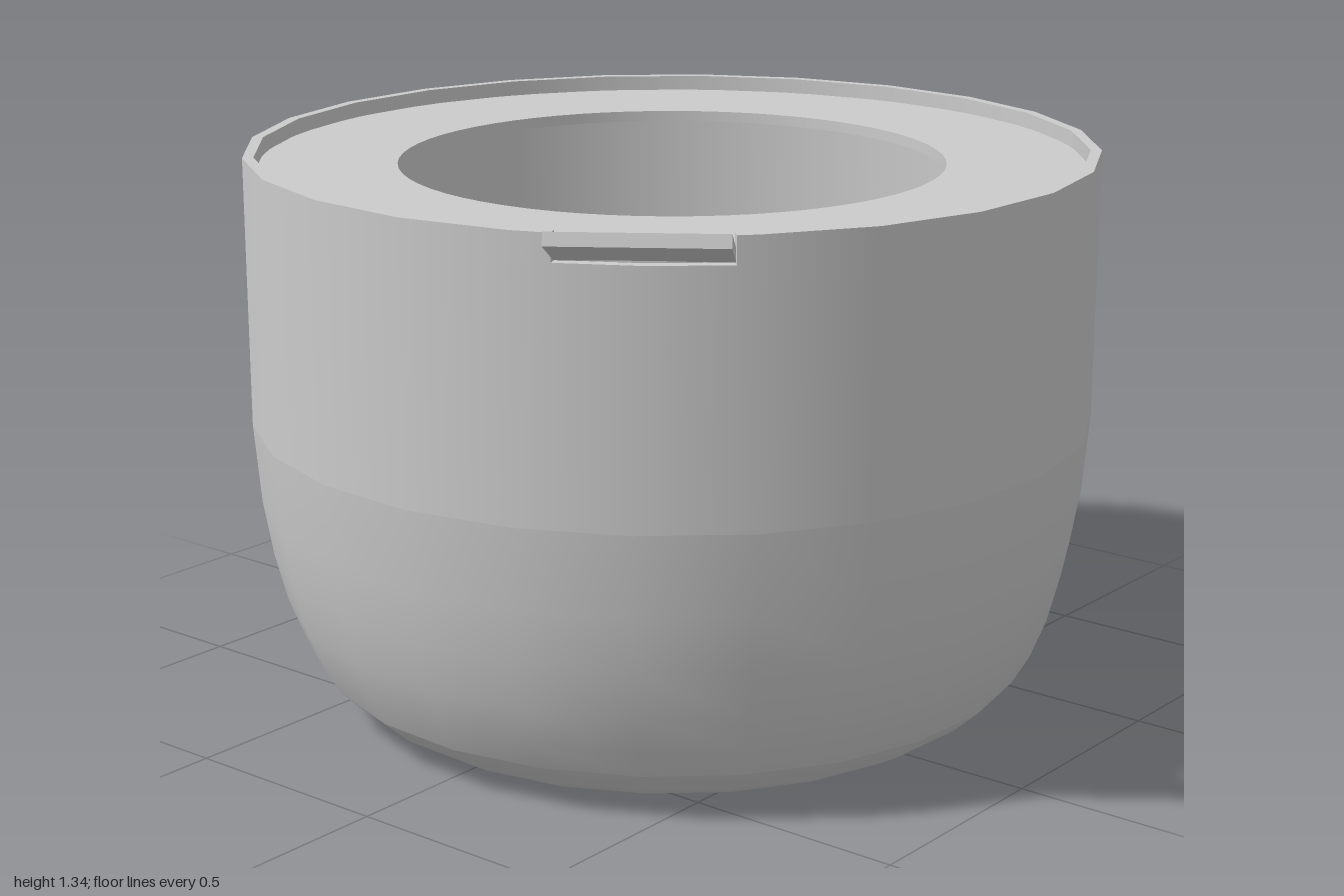
import * as THREE from 'three';

const rad = THREE.MathUtils.degToRad;
const material = new THREE.MeshStandardMaterial({ color: 0xcccccc });

const SIDES = 24, TURN = 4.2;            // wall facets and their rotation (degrees)
const R = 0.965, T = 0.025;              // outer radius and wall thickness
const RIM = 1.295, LEDGE = 1.235, BEND = 0.68;
const TAB_ANGLE = 305.5, TAB_HALF = 10.9; // tab direction and half of the notch (lathe degrees)

// One smooth band of revolution; separate bands keep creases sharp
function band(group, name, points, segments = SIDES, start = TURN, sweep = 360) {
  const profile = points.map(([x, y]) => new THREE.Vector2(x, y));
  const mesh = new THREE.Mesh(new THREE.LatheGeometry(profile, segments, rad(start), rad(sweep)), material);
  mesh.name = name;
  group.add(mesh);
}

function makeBowl() {
  const bowl = new THREE.Group();
  bowl.name = 'bowl';

  // Outer shell, bottom to top
  band(bowl, 'base', [[0, 0], [0.66, 0]]);
  band(bowl, 'baseCurve', [[0.66, 0], [0.71, 0.012], [0.765, 0.045], [0.825, 0.1]]);
  band(bowl, 'sideCurve', [[0.825, 0.1], [0.865, 0.17], [0.9, 0.26], [0.928, 0.37], [0.95, 0.5], [R, BEND]]);
  band(bowl, 'outerWall', [[R, BEND], [R, LEDGE]]);

  // Inner shell, top to bottom
  const r = R - T;
  band(bowl, 'innerWall', [[r, LEDGE], [r, BEND]]);
  band(bowl, 'innerCurve', [[r, BEND], [0.925, 0.5], [0.904, 0.38], [0.876, 0.27], [0.842, 0.18], [0.805, 0.115]]);
  band(bowl, 'innerBaseCurve', [[0.805, 0.115], [0.75, 0.065], [0.7, 0.037], [0.655, T]]);
  band(bowl, 'innerFloor', [[0.655, T], [0, T]]);

  // Rim, left open where the tab passes through
  const notchStart = TAB_ANGLE - TAB_HALF, notchEnd = TAB_ANGLE + TAB_HALF;
  const first = TURN + 315, last = TURN + 285;
  const arcs = [[first, 330, 22], [notchEnd, first - notchEnd, 1], [last, notchStart - last, 1]];
  for (const [start, sweep, segments] of arcs) {
    band(bowl, 'rimOuter', [[R, LEDGE], [R, RIM]], segments, start, sweep);
    band(bowl, 'rimTop', [[R, RIM], [r, RIM]], segments, start, sweep);
    band(bowl, 'rimInner', [[r, RIM], [r, LEDGE]], segments, start, sweep);
  }
  band(bowl, 'notchLedge', [[R, LEDGE], [r, LEDGE]], 2, notchStart, notchEnd - notchStart);

  // Cut faces at both ends of the rim
  const capMaterial = material.clone();
  capMaterial.side = THREE.DoubleSide;
  for (const angle of [notchStart, notchEnd]) {
    const cap = new THREE.Mesh(new THREE.PlaneGeometry(T, RIM - LEDGE), capMaterial);
    cap.name = 'notchEnd';
    const a = rad(angle), mid = R - T / 2;
    cap.position.set(mid * Math.sin(a), (RIM + LEDGE) / 2, mid * Math.cos(a));
    cap.rotation.y = a - Math.PI / 2;
    bowl.add(cap);
  }
  return bowl;
}

function makeLid() {
  const lid = new THREE.Group();
  lid.name = 'lid';
  const hole = 0.62, edge = 0.935, top = LEDGE + T;

  // Flat ring with a round opening
  band(lid, 'lidTop', [[edge, top], [hole, top]], 64);
  band(lid, 'lidOpening', [[hole, top], [hole, LEDGE]], 64);
  band(lid, 'lidUnderside', [[hole, LEDGE], [edge, LEDGE]], 64);
  band(lid, 'lidEdge', [[edge, LEDGE], [edge, top]], 64);

  // Upturned pull tab
  const profile = new THREE.Shape([
    [0.9, LEDGE], [0.925, LEDGE], [1.136, 1.31], [1.128, 1.337], [0.915, top], [0.9, top],
  ].map(([x, y]) => new THREE.Vector2(x, y)));
  const geometry = new THREE.ExtrudeGeometry(profile, { depth: 0.36, bevelEnabled: false });
  geometry.translate(0, 0, -0.18);
  const tab = new THREE.Mesh(geometry, material);
  tab.name = 'pullTab';
  tab.rotation.y = rad(TAB_ANGLE - 90);
  lid.add(tab);
  return lid;
}

export function createModel() {
  const model = new THREE.Group();
  model.name = 'lidded bowl';
  model.add(makeBowl(), makeLid());
  for (const part of model.children) part.position.x = 0.03;
  return model;
}
